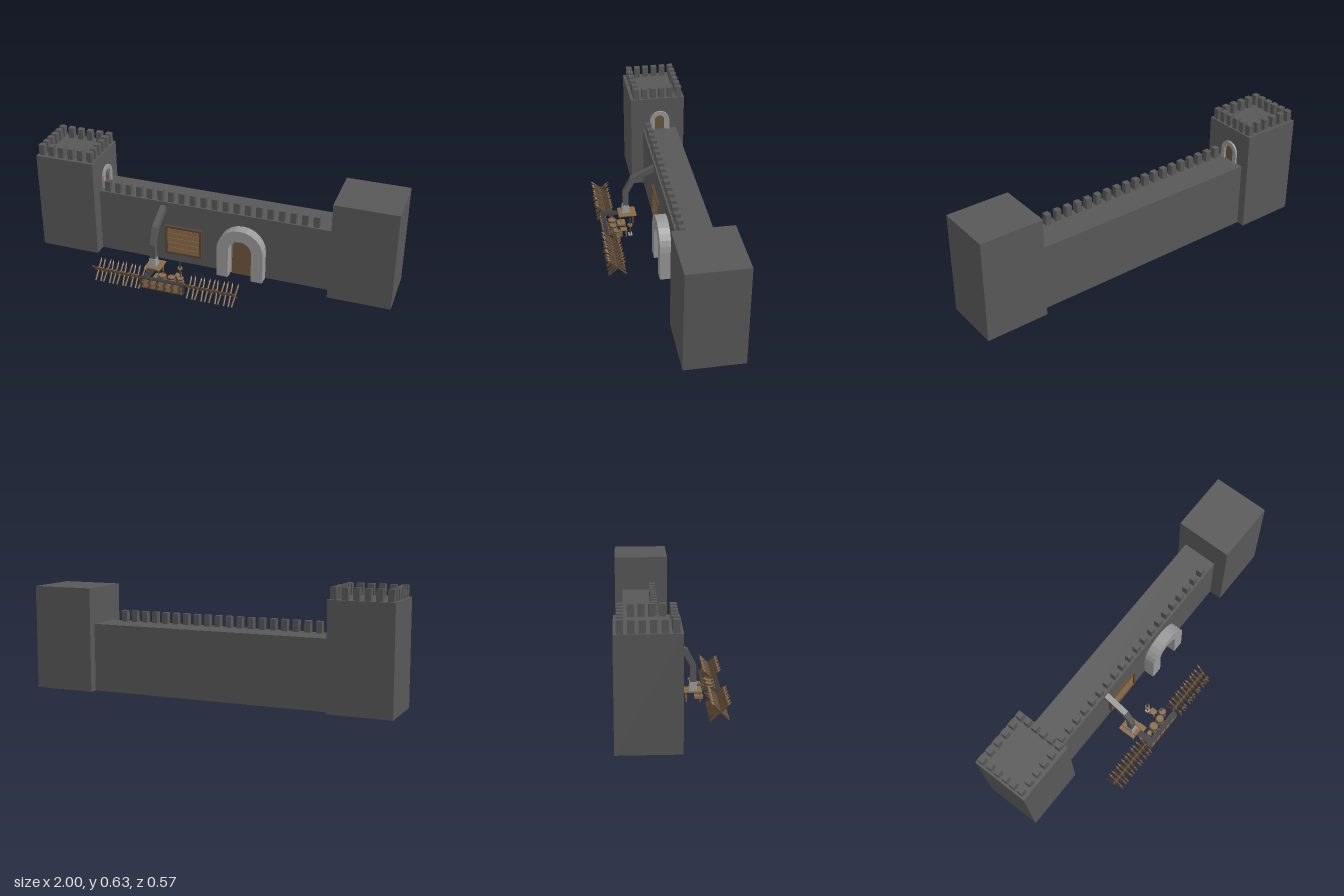
import * as THREE from 'three';

const mat = (color) => new THREE.MeshStandardMaterial({ color, flatShading: true });
const STONE = mat(0x585858), TRIM = mat(0x999999), WOOD = mat(0x8a6b48);
const DARKWOOD = mat(0x5a4531), IRON = mat(0x3a3a3a), DOOR = mat(0x6b5539);

function add(parent, name, geometry, material, x = 0, y = 0, z = 0) {
  const m = new THREE.Mesh(geometry, material);
  m.name = name;
  m.position.set(x, y, z);
  parent.add(m);
  return m;
}

// Box given by its minimum and maximum on each axis
function box(parent, name, material, x0, x1, y0, y1, z0, z1) {
  return add(parent, name, new THREE.BoxGeometry(x1 - x0, y1 - y0, z1 - z0), material,
    (x0 + x1) / 2, (y0 + y1) / 2, (z0 + z1) / 2);
}

function group(parent, name) {
  const g = new THREE.Group();
  g.name = name;
  parent.add(g);
  return g;
}

// Outline with a straight lower part and a round top
function archPoints(r, h, n = 12) {
  const pts = [new THREE.Vector2(-r, 0), new THREE.Vector2(r, 0)];
  for (let i = 0; i <= n; i++) {
    const a = (i / n) * Math.PI;
    pts.push(new THREE.Vector2(r * Math.cos(a), h + r * Math.sin(a)));
  }
  return pts;
}

// Stone surround with a wooden door set back in it
function archway(parent, name, outer, inner, h, depth) {
  const g = group(parent, name);
  const ring = archPoints(outer, h).slice(1);
  ring.push(new THREE.Vector2(-outer, 0), new THREE.Vector2(-inner, 0));
  ring.push(...archPoints(inner, h).slice(2).reverse(), new THREE.Vector2(inner, 0));
  add(g, 'archSurround', new THREE.ExtrudeGeometry(new THREE.Shape(ring),
    { depth, bevelEnabled: false }), TRIM);
  add(g, 'archDoor', new THREE.ExtrudeGeometry(new THREE.Shape(archPoints(inner * 0.85, h)),
    { depth: depth * 0.2, bevelEnabled: false }), DOOR);
  add(g, 'archJamb', new THREE.ExtrudeGeometry(new THREE.Shape(archPoints(inner, h)),
    { depth: depth * 0.1, bevelEnabled: false }), TRIM);
  return g;
}

// Sharpened stake or log between two points
function stake(parent, a, b, r, pointed = true) {
  const dir = b.clone().sub(a), len = dir.length(), tip = pointed ? 0.022 : 0;
  const g = group(parent, 'stake');
  add(g, 'stakeShaft', new THREE.CylinderGeometry(r, r, len - tip, 6), DARKWOOD, 0, (len - tip) / 2, 0);
  if (pointed) add(g, 'stakePoint', new THREE.ConeGeometry(r, tip, 6), WOOD, 0, len - tip / 2, 0);
  g.position.copy(a);
  g.quaternion.setFromUnitVectors(new THREE.Vector3(0, 1, 0), dir.normalize());
  return g;
}

function barrel(parent, x, z, r, h) {
  const g = group(parent, 'barrel');
  const p = [[0, 0], [0.8, 0], [0.95, 0.25], [1, 0.5], [0.95, 0.75], [0.8, 1], [0.7, 1], [0.7, 0.94], [0, 0.94]];
  add(g, 'barrelStaves', new THREE.LatheGeometry(p.map(([a, b]) => new THREE.Vector2(a * r, b * h)), 12), WOOD);
  for (const t of [0.1, 0.3, 0.7, 0.9])
    add(g, 'barrelHoop', new THREE.CylinderGeometry(r * 0.99, r * 0.99, h * 0.06, 12), IRON, 0, t * h, 0);
  g.position.set(x, 0.01, z);
}

function castle(root) {
  const g = group(root, 'castle');
  box(g, 'wall', STONE, -0.68, 0.68, 0.01, 0.375, -0.24, -0.045);
  box(g, 'crenellatedTower', STONE, -1, -0.665, 0.01, 0.57, -0.285, 0.025);
  box(g, 'plainTower', STONE, 0.66, 1, 0.01, 0.57, -0.285, 0.025);
  const merlon = (x, y, z) => box(g, 'merlon', STONE, x - 0.016, x + 0.016, y, y + 0.06, z - 0.016, z + 0.016);
  for (let i = 0; i < 20; i++) merlon(-0.62 + i * 0.0623, 0.375, -0.07);
  for (let i = 0; i < 6; i++) for (let j = 0; j < 6; j++)
    if (i % 5 === 0 || j % 5 === 0) merlon(-0.973 + i * 0.0566, 0.57, -0.254 + j * 0.0494);
  archway(g, 'gate', 0.13, 0.065, 0.17, 0.06).position.set(0.17, 0.01, -0.045);
  const upper = archway(g, 'towerDoor', 0.057, 0.032, 0.058, 0.011);
  upper.position.set(-0.665, 0.375, -0.142);
  upper.rotation.y = Math.PI / 2;
}

function noticeBoard(root) {
  const g = group(root, 'noticeBoard');
  box(g, 'boardBack', DARKWOOD, -0.27, -0.07, 0.065, 0.23, -0.045, -0.039);
  for (let i = 0; i < 5; i++)
    box(g, 'boardPlank', WOOD, -0.262, -0.078, 0.073 + i * 0.03, 0.101 + i * 0.03, -0.039, -0.035);
  for (const y of [0.062, 0.225]) box(g, 'boardRail', DARKWOOD, -0.275, -0.065, y, y + 0.012, -0.045, -0.03);
  for (const x of [-0.275, -0.075]) box(g, 'boardPost', DARKWOOD, x, x + 0.01, 0.062, 0.237, -0.045, -0.03);
}

function forge(root) {
  const g = group(root, 'forge');
  // Square flue bending back into the wall
  const flue = [[0.131, 0.11], [0.131, 0.2], [0.086, 0.29], [-0.05, 0.357], [-0.05, 0.325], [0.062, 0.268], [0.1, 0.2], [0.1, 0.11]];
  add(g, 'flue', new THREE.ExtrudeGeometry(new THREE.Shape(flue.map((p) => new THREE.Vector2(...p))),
    { depth: 0.032, bevelEnabled: false }), STONE, -0.27).rotation.y = -Math.PI / 2;
  const hood = add(g, 'hood', new THREE.CylinderGeometry(0.025, 0.033, 0.045, 4), TRIM, -0.286, 0.093, 0.116);
  hood.geometry.rotateY(Math.PI / 4);
  // Slatted bench on legs
  for (let i = 0; i < 4; i++)
    box(g, 'benchSlat', WOOD, -0.325 + i * 0.0235, -0.304 + i * 0.0235, 0.064, 0.069, 0.06, 0.16);
  for (const z of [0.08, 0.15]) {
    box(g, 'benchBrace', DARKWOOD, -0.322, -0.238, 0.054, 0.064, z - 0.003, z + 0.003);
    for (const x of [-0.315, -0.245]) box(g, 'benchLeg', WOOD, x - 0.003, x + 0.003, 0.012, 0.064, z - 0.003, z + 0.003);
  }
  box(g, 'toolBar', IRON, -0.298, -0.26, 0.064, 0.07, 0.16, 0.235);
  box(g, 'chest', WOOD, -0.27, -0.22, 0.012, 0.025, 0.125, 0.17);
  // Iron post on a stone foot, with a wooden crossbar
  box(g, 'postFoot', TRIM, -0.148, -0.122, 0.01, 0.018, 0.1, 0.122);
  box(g, 'post', IRON, -0.139, -0.131, 0.018, 0.12, 0.107, 0.115);
  add(g, 'postWheel', new THREE.CylinderGeometry(0.014, 0.014, 0.01, 10), WOOD, -0.135, 0.075, 0.111);
  // Small stool
  box(g, 'stoolSeat', WOOD, -0.148, -0.115, 0.05, 0.056, 0.13, 0.165);
  for (const x of [-0.144, -0.119]) for (const z of [0.134, 0.161])
    box(g, 'stoolLeg', WOOD, x - 0.003, x + 0.003, 0.012, 0.05, z - 0.003, z + 0.003);
}

function barricade(root) {
  const g = group(root, 'barricade');
  const V = (x, y, z) => new THREE.Vector3(x, y, z);
  // Two runs of crossed stakes on a log
  for (const start of [-0.585, -0.06]) {
    stake(g, V(start, 0.052, 0.23), V(start + 0.28, 0.052, 0.23), 0.008, false).name = 'barricadeLog';
    for (let i = 0; i < 11; i++) {
      const x = start + 0.01 + i * 0.0255, lean = 0.006 * Math.sin(i * 2.4);
      stake(g, V(x - lean, 0.004, 0.18), V(x + lean, 0.104, 0.284), 0.0055);
      stake(g, V(x + 0.012 + lean, 0.005, 0.274), V(x + 0.012 - lean, 0.1, 0.182), 0.0055);
    }
  }
  // Rack of stacked logs between the runs
  for (let row = 0; row < 4; row++) for (let i = 0; i < 17 - (row % 2); i++)
    add(g, 'firewoodLog', new THREE.CylinderGeometry(0.0072, 0.0072, 0.03, 6).rotateX(Math.PI / 2),
      i % 3 ? WOOD : DARKWOOD, -0.3 + (i + (row % 2) / 2) * 0.0142, 0.02 + row * 0.0125, 0.247);
  box(g, 'rackTop', IRON, -0.308, -0.066, 0.065, 0.07, 0.235, 0.26);
  box(g, 'rackBase', DARKWOOD, -0.308, -0.066, 0.008, 0.013, 0.235, 0.26);
  for (const x of [-0.31, -0.07]) box(g, 'rackPost', IRON, x, x + 0.006, 0.008, 0.07, 0.235, 0.26);
}

export function createModel() {
  const root = new THREE.Group();
  root.name = 'castleGateAndCamp';
  castle(root);
  noticeBoard(root);
  forge(root);
  barricade(root);
  barrel(root, -0.2, 0.205, 0.026, 0.068);
  barrel(root, -0.147, 0.205, 0.024, 0.068);
  barrel(root, -0.104, 0.19, 0.022, 0.06);
  barrel(root, -0.24, 0.205, 0.015, 0.04);
  // Tap standing on a barrel
  add(root, 'tapStem', new THREE.CylinderGeometry(0.003, 0.003, 0.03, 6), IRON, -0.104, 0.08, 0.182);
  box(root, 'tapHandle', IRON, -0.112, -0.096, 0.094, 0.098, 0.174, 0.19);
  return root;
}
